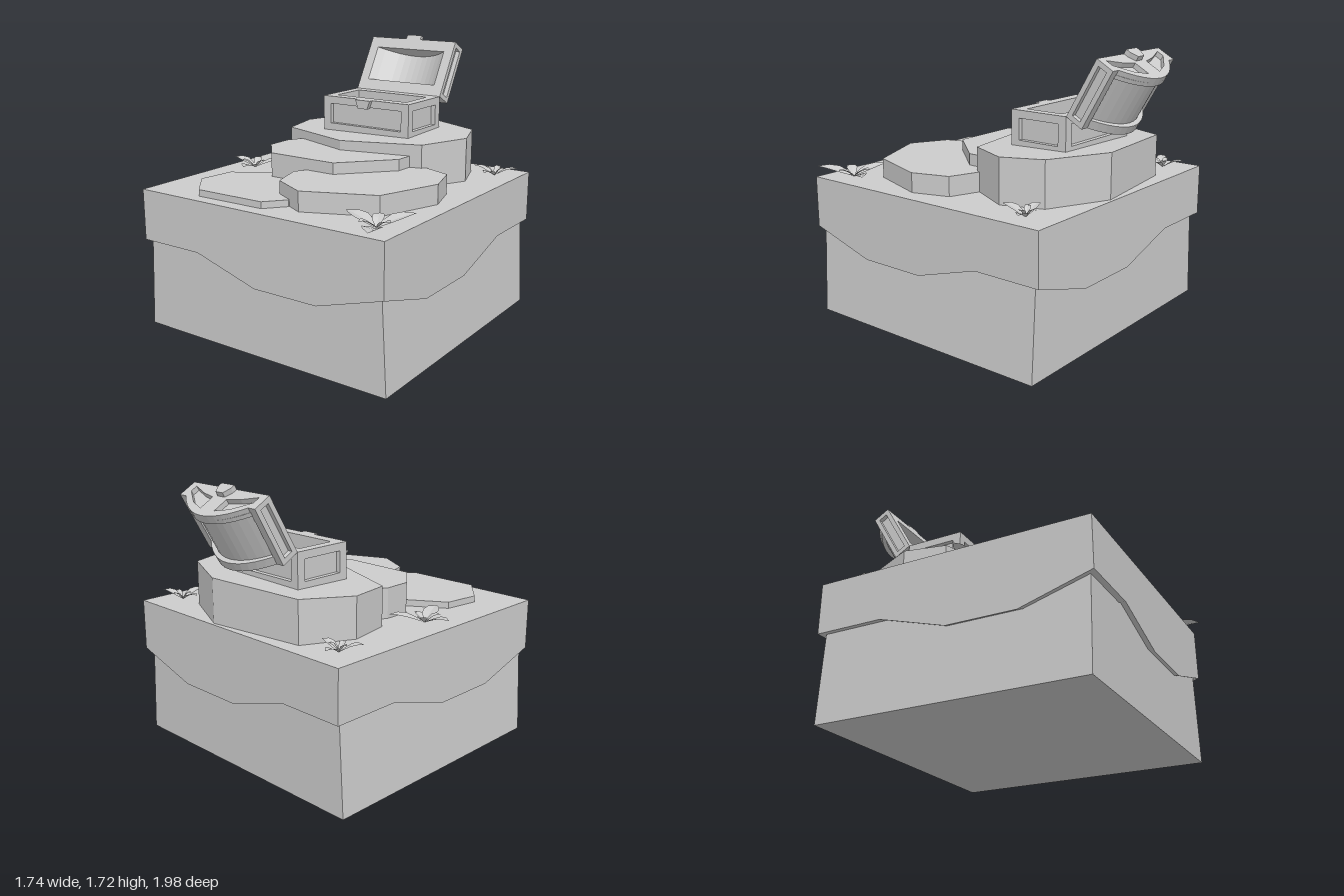
import * as THREE from 'three';

const material = new THREE.MeshStandardMaterial({ color: 0xcccccc, flatShading: true });
const leafMaterial = new THREE.MeshStandardMaterial({ color: 0xcccccc, flatShading: true, side: THREE.DoubleSide });

function add(parent, name, geometry, x = 0, y = 0, z = 0) {
  const mesh = new THREE.Mesh(geometry, material);
  mesh.name = name;
  mesh.position.set(x, y, z);
  parent.add(mesh);
  return mesh;
}

const toShape = (pts) => new THREE.Shape(pts.map(([x, y]) => new THREE.Vector2(x, y)));
const rect = (w, h) => [[-w / 2, -h / 2], [w / 2, -h / 2], [w / 2, h / 2], [-w / 2, h / 2]];

// Extrude an outline along +z, with optional holes
function extrude(pts, depth, holes = []) {
  const shape = toShape(pts);
  shape.holes = holes.map(toShape);
  return new THREE.ExtrudeGeometry(shape, { depth, bevelEnabled: false });
}

// Move every vertex of a geometry by a rule
function reshape(geometry, rule) {
  const p = geometry.attributes.position;
  const v = new THREE.Vector3();
  for (let i = 0; i < p.count; i++) {
    rule(v.fromBufferAttribute(p, i));
    p.setXYZ(i, v.x, v.y, v.z);
  }
  const flat = geometry.index ? geometry.toNonIndexed() : geometry;
  flat.computeVertexNormals();
  return flat;
}

// Ground block: slightly tapered soil under a turf cap with a wavy hem
function buildGround(root) {
  const soil = reshape(new THREE.BoxGeometry(1.74, 0.6, 1.67), (v) => {
    if (v.y > 0) v.x *= 0.963;
  });
  add(root, 'soil', soil, 0, 0.3, 0.065);

  const edge = 0.869;
  const dips = (a) => a > -0.1 && a < 0.6;
  const turf = reshape(new THREE.BoxGeometry(1.74, 0.32, 1.74, 4, 1, 4), (v) => {
    const onHem = (Math.abs(v.z) > edge && dips(v.x)) || (Math.abs(v.x) > edge && dips(v.z));
    if (v.y < 0 && onHem) v.y -= 0.13;
  });
  add(root, 'turf', turf, 0, 0.72, 0.06);
}

// Stepped terraces, outlined in x and z
function buildTerraces(root) {
  const base = 0.87;
  const slab = (pts, top) =>
    extrude(pts.map(([x, z]) => [x, -z]), top - base).rotateX(-Math.PI / 2).translate(0, base, 0);

  add(root, 'lowTerrace', slab([[-0.4, 0.28], [-0.62, 0.42], [-0.65, 0.65], [-0.48, 0.85],
    [-0.01, 0.84], [0.09, 0.72], [0.09, 0.4], [-0.2, 0.25]], 0.92));
  add(root, 'frontTerrace', slab([[0.5, -0.1], [0.69, -0.03], [0.76, 0.2], [0.62, 0.59],
    [0.2, 0.77], [-0.03, 0.65], [-0.1, 0.43], [0.05, 0.2]], 1.0));
  add(root, 'middleTerrace', slab([[-0.42, -0.13], [-0.49, 0.0], [-0.49, 0.17], [-0.33, 0.36],
    [0.14, 0.36], [0.41, 0.06], [0.42, -0.12]], 1.07));
  const mound = slab([[-0.47, -0.71], [-0.62, -0.41], [-0.57, -0.14], [-0.03, 0.05],
    [0.49, -0.07], [0.64, -0.36], [0.55, -0.61], [0.17, -0.79]], 1.13);
  add(root, 'mound', reshape(mound, (v) => {
    if (v.y > 1) v.y = 1.132 + 0.02 * v.x - 0.026 * v.z;
  }));
}

// Open chest body: inner tub wrapped in panel frames
function buildChest(root) {
  const chest = new THREE.Group();
  chest.name = 'chest';
  chest.position.set(-0.005, 1.13, -0.385);
  root.add(chest);

  const h = 0.226, w = 0.65, d = 0.39, t = 0.03;
  add(chest, 'tub', extrude(rect(w - 2 * t, d - 2 * t), h, [rect(0.53, 0.25)]).rotateX(-Math.PI / 2));
  add(chest, 'tubFloor', new THREE.BoxGeometry(0.55, 0.05, 0.27), 0, 0.03, 0);
  const longFrame = extrude(rect(w, h), t, [rect(0.54, 0.13)]);
  const shortFrame = extrude(rect(d - 2 * t, h), t, [rect(0.28, 0.13)]);
  for (const s of [1, -1]) {
    add(chest, s > 0 ? 'frontFrame' : 'backFrame', longFrame, 0, h / 2, s * (d / 2 - t))
      .rotation.y = s > 0 ? 0 : Math.PI;
    add(chest, s > 0 ? 'leftFrame' : 'rightFrame', shortFrame, s * (w / 2 - t), h / 2, 0)
      .rotation.y = s * Math.PI / 2;
  }
  add(chest, 'latch', extrude([[-0.035, -0.055], [0.035, -0.055], [0.055, 0], [-0.055, 0]], 0.03), 0, h, d / 2);

  // Lid: y is its depth, z runs from the hinge to its front edge
  const lid = new THREE.Group();
  lid.name = 'lid';
  lid.position.set(0, h, -d / 2);
  lid.rotation.x = -Math.PI * 2 / 3;
  chest.add(lid);

  const arch = (half, base, rise, n = 12) => Array.from({ length: n + 1 }, (_, i) => {
    const u = 1 - (2 * i) / n;
    return [u * half, base + rise * (1 - u * u)];
  });
  const outer = [[-0.325, 0], [0.325, 0], [0.325, 0.12], ...arch(0.27, 0.12, 0.123), [-0.325, 0.12]];
  const inner = [[0.295, 0], [0.295, 0.09], ...arch(0.27, 0.092, 0.121), [-0.295, 0.09], [-0.295, 0]];
  const window = [[0.27, 0.03], [0.27, 0.075], [0.16, 0.155], [0.06, 0.19], [0.06, 0.09], [0.16, 0.07]];
  const endPlate = extrude(outer, t, [window, window.map(([x, y]) => [-x, y])]);
  const bulkhead = extrude(inner, 0.045);
  add(lid, 'lidBackPlate', endPlate);
  add(lid, 'lidFrontPlate', endPlate, 0, 0, d - t);
  add(lid, 'lidBackWall', bulkhead, 0, 0, 0.03);
  add(lid, 'lidFrontWall', bulkhead, 0, 0, 0.315);
  add(lid, 'lidShell', extrude([...inner, ...arch(0.26, 0, 0.12).reverse()], 0.24), 0, 0, 0.075);

  // Straps just inside the end plates, and rails along both sides
  const strap = extrude([...arch(0.28, 0.115, 0.128), ...arch(0.27, 0.08, 0.121).reverse()], 0.025);
  add(lid, 'lidBackStrap', strap, 0, 0, 0.03);
  add(lid, 'lidFrontStrap', strap, 0, 0, d - 0.055);
  for (const s of [1, -1]) {
    add(lid, 'lidRimRail', new THREE.BoxGeometry(0.03, 0.03, d - 2 * t), s * 0.31, 0.015, d / 2);
    add(lid, 'lidUpperRail', new THREE.BoxGeometry(0.055, 0.03, d - 2 * t), s * 0.2975, 0.105, d / 2);
  }
  add(lid, 'lidClasp', extrude([[-0.055, 0], [0.055, 0], [0.055, 0.03], [0.03, 0.075], [-0.03, 0.075], [-0.055, 0.03]], 0.03), 0, 0, d);
}

// One folded leaf reaching along +x, lofted from cross-sections
function leafGeometry(length, rise, width) {
  const stations = [[0, 0, 0.1], [0.25, 0.5, 0.7], [0.5, 0.9, 1], [0.75, 1.05, 0.75], [1, 0.95, 0]];
  const pos = [], index = [];
  stations.forEach(([t, y, w], i) => {
    for (const s of [-1, 0, 1]) {
      pos.push(t * length, y * rise - (s ? 0 : 0.12 * w * width), s * w * width / 2);
    }
    if (i === 0) return;
    for (let k = 0; k < 2; k++) {
      const a = (i - 1) * 3 + k, b = a + 3;
      index.push(a, a + 1, b, a + 1, b + 1, b);
    }
  });
  const g = new THREE.BufferGeometry();
  g.setAttribute('position', new THREE.Float32BufferAttribute(pos, 3));
  g.setIndex(index);
  g.computeVertexNormals();
  return g;
}

// Plants: a centre and the three long leaf tips, with short leaves between
function buildPlants(root) {
  const plants = [
    [[-0.7, -0.63], [[-0.73, -0.765], [-0.57, -0.63], [-0.81, -0.55]]],
    [[0.72, -0.61], [[0.58, -0.6], [0.855, -0.665], [0.72, -0.45]]],
    [[-0.69, 0.1], [[-0.54, -0.045], [-0.87, 0.1], [-0.62, 0.3]]],
    [[0.71, 0.76], [[0.83, 0.55], [0.48, 0.71], [0.81, 0.99]]],
  ];
  for (const [[cx, cz], tips] of plants) {
    const plant = new THREE.Group();
    plant.name = 'plant';
    plant.position.set(cx, 0.88, cz);
    root.add(plant);
    for (const [tx, tz] of tips) {
      const length = Math.hypot(tx - cx, tz - cz);
      const angle = -Math.atan2(tz - cz, tx - cx);
      const long = add(plant, 'longLeaf', leafGeometry(length, 0.05, length * 0.45));
      const short = add(plant, 'shortLeaf', leafGeometry(length * 0.45, 0.05, length * 0.28));
      long.rotation.y = angle;
      short.rotation.y = angle + Math.PI;
      long.material = short.material = leafMaterial;
    }
  }
}

export function createModel() {
  const root = new THREE.Group();
  root.name = 'treasureMound';
  buildGround(root);
  buildTerraces(root);
  buildChest(root);
  buildPlants(root);
  return root;
}
